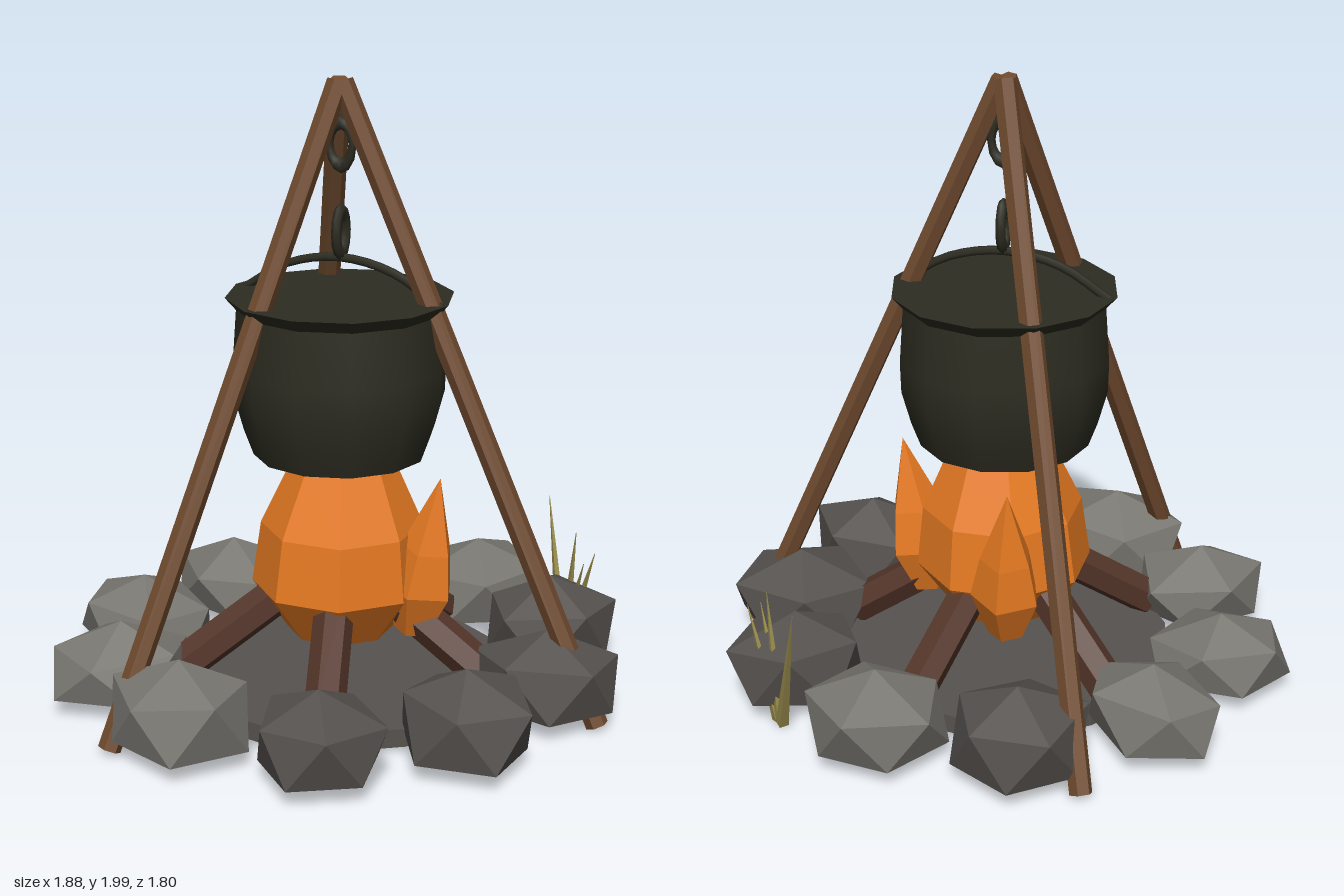
import * as THREE from 'three';

const flat = (name, color) => {
  const m = new THREE.MeshStandardMaterial({ color, flatShading: true });
  m.name = name;
  return m;
};

export function createModel() {
  const model = new THREE.Group();
  model.name = 'campfire';

  const lightStone = flat('light stone', 0x787670);
  const darkStone = flat('dark stone', 0x55514e);
  const ash = flat('ash', 0x57534f);
  const poleWood = flat('pole wood', 0x6f4a2e);
  const logWood = flat('log wood', 0x543529);
  const flame = flat('flame orange', 0xe67a22);
  const straw = flat('dry grass', 0x978a4c);
  const iron = new THREE.MeshStandardMaterial({ color: 0x2d2d22 });
  iron.name = 'cast iron';

  const V = (x, y, z) => new THREE.Vector3(x, y, z);
  const add = (parent, name, geometry, material) => {
    const mesh = new THREE.Mesh(geometry, material);
    mesh.name = name;
    parent.add(mesh);
    return mesh;
  };
  // Straight tapered bar between two points
  const bar = (parent, name, a, b, rA, rB, sides, material) => {
    const dir = b.clone().sub(a);
    const mesh = add(parent, name, new THREE.CylinderGeometry(rB, rA, dir.length(), sides), material);
    mesh.position.copy(a).add(b).multiplyScalar(0.5);
    mesh.quaternion.setFromUnitVectors(V(0, 1, 0), dir.normalize());
    return mesh;
  };
  const lathe = (points, sides) =>
    new THREE.LatheGeometry(points.map(([r, y]) => new THREE.Vector2(r, y)), sides);

  // Everything that shares the central axis
  const core = new THREE.Group();
  core.name = 'hearth';
  core.position.set(0.005, 0, 0.012);
  model.add(core);

  // Ash bed
  add(core, 'ashBed', new THREE.CylinderGeometry(0.545, 0.545, 0.06, 16), ash).position.y = 0.052;

  // Tripod poles
  for (let i = 0; i < 3; i++) {
    const a = (i * Math.PI * 2) / 3;
    bar(core, 'tripodPole', V(Math.cos(a) * 0.877, 0.02, Math.sin(a) * 0.877),
      V(Math.cos(a) * 0.006, 1.985, Math.sin(a) * 0.006), 0.036, 0.036, 6, poleWood);
  }

  // Leaning logs
  for (let i = 0; i < 5; i++) {
    const a = (i * Math.PI * 2) / 5;
    bar(core, 'log', V(Math.cos(a) * 0.52, 0.12, Math.sin(a) * 0.52),
      V(Math.cos(a) * 0.1, 0.41, Math.sin(a) * 0.1), 0.064, 0.064, 6, logWood);
  }

  // Main flame, leaning slightly as it rises
  const mainFlame = lathe([[0, 0.17], [0.17, 0.21], [0.285, 0.37], [0.26, 0.57], [0.155, 0.8], [0, 1.08]], 8);
  mainFlame.rotateY(Math.PI / 8);
  const fp = mainFlame.attributes.position;
  for (let i = 0; i < fp.count; i++) fp.setX(i, fp.getX(i) + 0.025 * Math.max(0, fp.getY(i) - 0.3));
  add(core, 'mainFlame', mainFlame, flame);

  // Small side flames tilting outward
  for (const a of [0, Math.PI * 0.59]) {
    const holder = new THREE.Group();
    holder.name = 'sideFlame';
    holder.rotation.y = a;
    core.add(holder);
    const f = add(holder, 'flameTongue',
      lathe([[0, 0], [0.06, 0.02], [0.115, 0.17], [0.085, 0.31], [0, 0.55]], 5), flame);
    f.position.set(0.25, 0.22, 0);
    f.rotation.z = -0.17;
  }

  // Pot
  const pot = new THREE.Group();
  pot.name = 'pot';
  core.add(pot);
  add(pot, 'potWall', lathe([[0.275, 0.808], [0.305, 0.89], [0.335, 1.0], [0.338, 1.1], [0.325, 1.285]], 12), iron);
  add(pot, 'potRim', lathe([[0.325, 1.28], [0.36, 1.32]], 12), iron);
  const bottom = add(pot, 'potBottom', new THREE.CircleGeometry(0.275, 12), iron);
  bottom.rotation.x = Math.PI / 2;
  bottom.position.y = 0.808;
  const top = add(pot, 'potTop', new THREE.CircleGeometry(0.36, 12), iron);
  top.rotation.x = -Math.PI / 2;
  top.position.y = 1.32;

  // Bail handle and hanging links
  const arc = new THREE.CatmullRomCurve3([
    V(-0.335, 1.31, 0), V(-0.18, 1.405, 0), V(0, 1.44, 0), V(0.18, 1.405, 0), V(0.335, 1.31, 0)]);
  add(pot, 'handle', new THREE.TubeGeometry(arc, 16, 0.014, 6), iron);
  for (const [y, turn] of [[1.52, Math.PI / 2], [1.795, 0]]) {
    const link = add(core, 'chainLink', new THREE.TorusGeometry(0.045, 0.016, 6, 12), iron);
    link.scale.set(0.85, 1.5, 1);
    link.rotation.y = turn;
    link.position.set(0.003, y, 0);
  }

  // Ring of stones: x, z, radial half size, sideways half size, top height, material
  const stones = [
    [0.71, 0.0, 0.245, 0.205, 0.31, darkStone],
    [0.59, 0.41, 0.24, 0.2, 0.32, darkStone],
    [0.235, 0.7, 0.215, 0.21, 0.31, darkStone],
    [-0.23, 0.69, 0.22, 0.24, 0.32, lightStone],
    [-0.58, 0.42, 0.245, 0.2, 0.285, lightStone],
    [-0.72, 0.0, 0.24, 0.205, 0.27, lightStone],
    [-0.58, -0.4, 0.255, 0.19, 0.29, lightStone],
    [-0.22, -0.68, 0.225, 0.22, 0.32, darkStone],
    [0.23, -0.68, 0.225, 0.225, 0.31, lightStone],
    [0.58, -0.42, 0.235, 0.195, 0.32, darkStone],
  ];
  const floor = 0.065;
  stones.forEach(([x, z, radial, side, height, material], n) => {
    const g = new THREE.IcosahedronGeometry(1, 0);
    g.rotateZ(Math.atan(2 / (1 + Math.sqrt(5))));
    g.rotateY(n * 2.3);
    const p = g.attributes.position;
    for (let i = 0; i < p.count; i++) {
      // Uneven corners, flattened underside
      const [a, b, c] = [p.getX(i), p.getY(i), p.getZ(i)];
      const k = 1.06 + 0.07 * Math.sin(a * 7 + c * 11 + b * 3 + n * 5);
      const h = height - 0.16 * (1 - b) + (b < 0.9 ? 0.015 * Math.sin(a * 9 + c * 5 + n) : 0);
      p.setXYZ(i, a * k * radial, b < 0 ? floor : h, c * k * side);
    }
    g.computeVertexNormals();
    const stone = add(model, 'stone', g, material);
    stone.position.set(x, 0, z);
    stone.rotation.y = -Math.atan2(z, x);
  });

  // Dry grass tuft behind the stones
  const blades = [
    [0.57, -0.6, 0.47, 0.485, -0.73],
    [0.58, -0.59, 0.63, 0.44, -0.53],
    [0.59, -0.58, 0.7, 0.38, -0.52],
    [0.58, -0.57, 0.68, 0.36, -0.46],
  ];
  for (const [x, z, tx, ty, tz] of blades)
    bar(model, 'grassBlade', V(x, 0.015, z), V(tx, ty, tz), 0.022, 0.001, 4, straw);

  return model;
}
